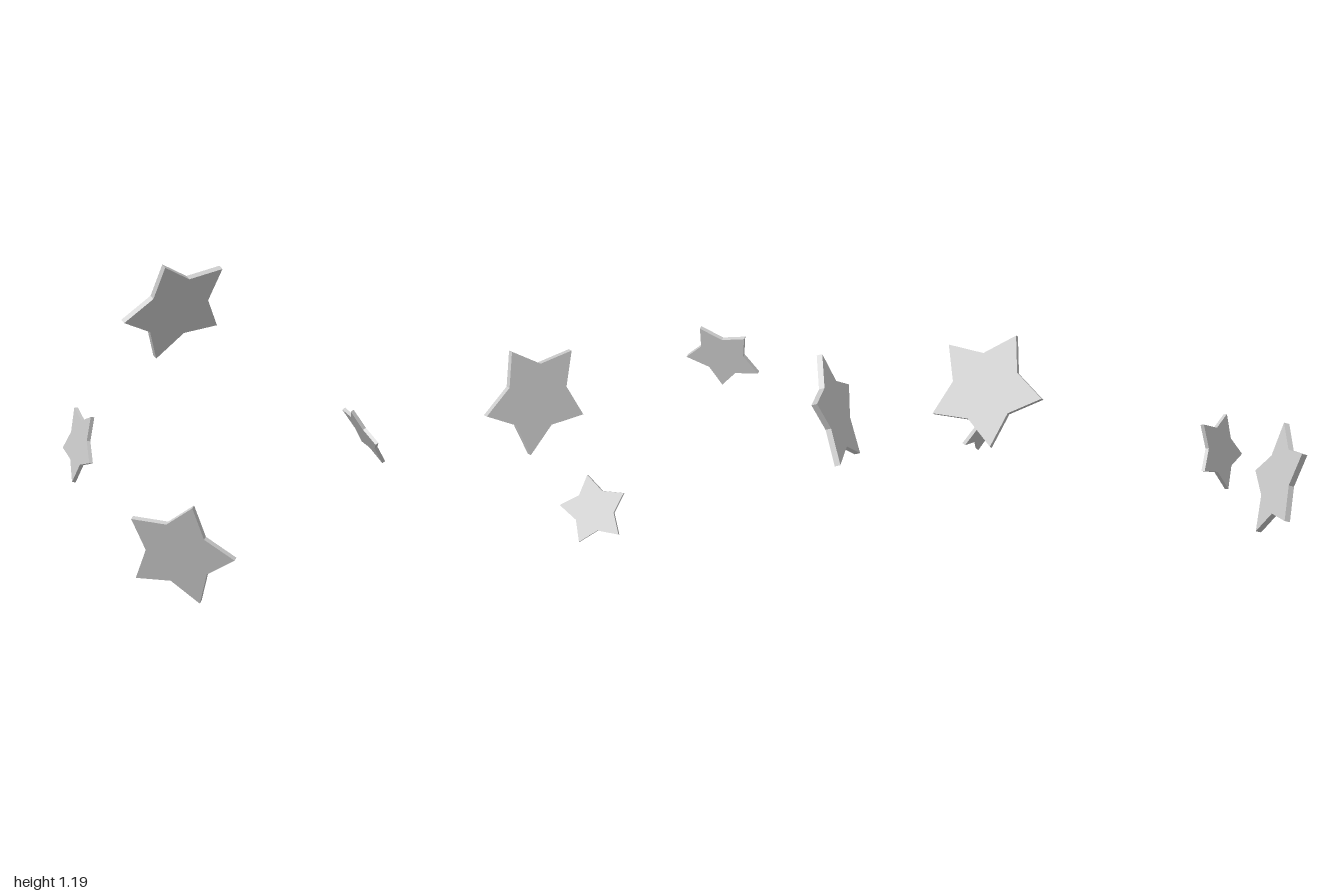
import * as THREE from 'three';

const material = new THREE.MeshStandardMaterial({ color: 0xcccccc, flatShading: true });

// Flat five-pointed star, unit outer radius, centred on its own middle
function starGeometry() {
  const points = [];
  for (let i = 0; i < 10; i++) {
    const r = i % 2 ? 0.59 : 1;
    const a = Math.PI / 2 + (i * Math.PI) / 5;
    points.push(new THREE.Vector2(r * Math.cos(a), r * Math.sin(a)));
  }
  const depth = 0.1;
  const geometry = new THREE.ExtrudeGeometry(new THREE.Shape(points), { depth, bevelEnabled: false });
  return geometry.translate(0, 0, -depth / 2);
}

// Places a star by its centre, the way its face looks and the way one tip points
function makeStar(geometry, { name, radius, center, facing, tip }) {
  const z = new THREE.Vector3(...facing).normalize();
  const x = new THREE.Vector3(...tip).cross(z).normalize();
  const y = new THREE.Vector3().crossVectors(z, x);
  const star = new THREE.Mesh(geometry, material);
  star.name = name;
  star.quaternion.setFromRotationMatrix(new THREE.Matrix4().makeBasis(x, y, z));
  star.position.set(...center);
  star.scale.setScalar(radius);
  return star;
}

export function createModel() {
  const model = new THREE.Group();
  model.name = 'floatingStars';
  const geometry = starGeometry();
  const stars = [
    { name: 'backStar', radius: 0.285, center: [0.076, 0.941, -0.893], facing: [0.19, -0.384, 1], tip: [-0.101, 0.244, 0.115] },
    { name: 'frontStar', radius: 0.279, center: [-0.526, 0.261, 0.812], facing: [-0.82, -0.374, 1], tip: [0.026, 0.249, 0.113] },
    { name: 'rightStar', radius: 0.187, center: [-0.71, 0.576, -0.06], facing: [1, -0.18, 0], tip: [-0.031, -0.175, 0.01] },
    { name: 'leftStar', radius: 0.168, center: [0.657, 0.537, 0.109], facing: [1, 0.6, 0], tip: [0.004, -0.007, 0.168] },
  ];
  for (const star of stars) model.add(makeStar(geometry, star));
  return model;
}
